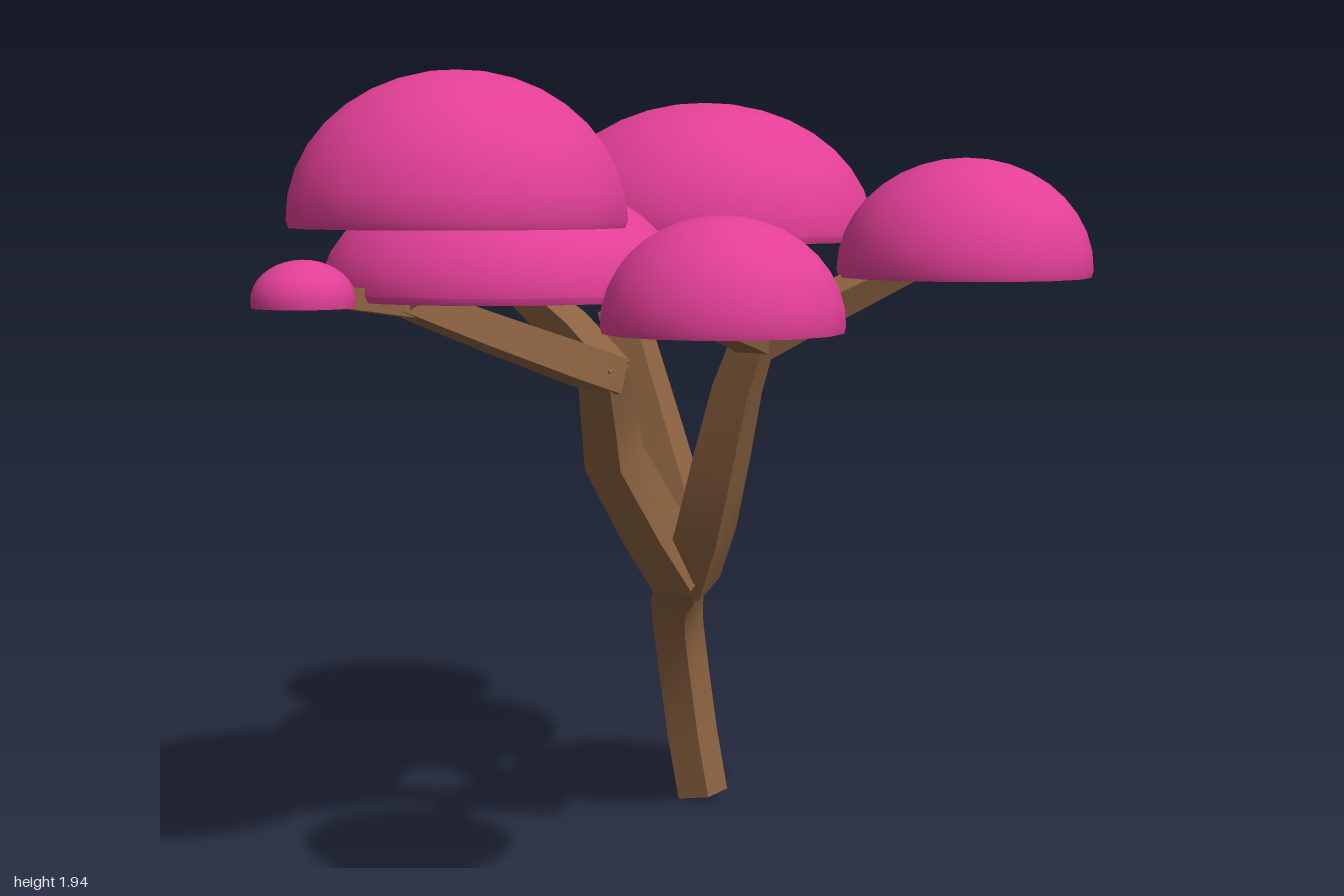
import * as THREE from 'three';
import { toCreasedNormals } from 'three/addons/utils/BufferGeometryUtils.js';

const V = (x, y, z) => new THREE.Vector3(x, y, z);

// Square-section limb swept along a path of [x, y, z, halfWidth]
function limbGeometry(path) {
  const pts = path.map(p => V(p[0], p[1], p[2]));
  const pos = [], idx = [];
  let prev = null, side = V(1, 0, 0);
  pts.forEach((p, i) => {
    const a = pts[Math.max(i - 1, 0)], b = pts[Math.min(i + 1, pts.length - 1)];
    const dir = b.clone().sub(a).normalize();
    if (prev) side.applyQuaternion(new THREE.Quaternion().setFromUnitVectors(prev, dir));
    side.addScaledVector(dir, -side.dot(dir)).normalize();
    const up = dir.clone().cross(side);
    const h = path[i][3];
    for (const [u, v] of [[-1, -1], [1, -1], [1, 1], [-1, 1]]) {
      const c = p.clone().addScaledVector(side, u * h).addScaledVector(up, v * h);
      pos.push(c.x, c.y, c.z);
    }
    prev = dir;
  });
  const n = pts.length;
  for (let i = 0; i < n - 1; i++) {
    for (let k = 0; k < 4; k++) {
      const a = i * 4 + k, b = i * 4 + (k + 1) % 4;
      idx.push(a, b, b + 4, a, b + 4, a + 4);
    }
  }
  const e = (n - 1) * 4;
  idx.push(0, 2, 1, 0, 3, 2, e, e + 1, e + 2, e, e + 2, e + 3);
  const g = new THREE.BufferGeometry();
  g.setAttribute('position', new THREE.Float32BufferAttribute(pos, 3));
  g.setIndex(idx);
  return toCreasedNormals(g, 0.6);
}

// Hollow dome with a thin bevelled rim, base at y = 0
function domeGeometry(r, h) {
  const t = Math.min(0.035, r * 0.12), lip = 0.016, steps = 9, profile = [];
  const arc = (i, rad, height, y0) => {
    const a = (i / steps) * Math.PI / 2;
    return new THREE.Vector2(i === steps ? 0 : rad * Math.cos(a), y0 + height * Math.sin(a));
  };
  for (let i = steps; i >= 0; i--) profile.push(arc(i, r - t, h - t - lip, lip));
  profile.push(new THREE.Vector2(r - t, 0), new THREE.Vector2(r * 0.985, 0));
  for (let i = 0; i <= steps; i++) profile.push(arc(i, r, h - lip, lip));
  return toCreasedNormals(new THREE.LatheGeometry(profile, 16), 0.6);
}

export function createModel() {
  const tree = new THREE.Group();
  tree.name = 'tree';
  const bark = new THREE.MeshStandardMaterial({ color: 0x8b6240 });
  bark.name = 'brown bark';
  const leaf = new THREE.MeshStandardMaterial({ color: 0xe23f96 });
  leaf.name = 'pink foliage';
  const add = (name, geo, mat) => {
    const m = new THREE.Mesh(geo, mat);
    m.name = name;
    tree.add(m);
    return m;
  };

  // Trunk, main branches and twigs
  const limbs = {
    trunk: [[-0.25, 0.01, -0.51, 0.05], [-0.285, 0.18, -0.51, 0.05], [-0.31, 0.38, -0.5, 0.05],
      [-0.3, 0.5, -0.46, 0.05], [-0.265, 0.59, -0.4, 0.053], [-0.19, 0.66, -0.31, 0.056],
      [-0.07, 0.72, -0.13, 0.064], [0.0, 0.79, -0.03, 0.062]],
    leftBranch: [[-0.01, 0.72, -0.07, 0.055], [0.08, 0.87, 0, 0.056], [0.145, 1.06, 0.03, 0.052],
      [0.2, 1.22, 0.055, 0.046], [0.26, 1.355, 0.07, 0.04]],
    leftFrontTwig: [[0.25, 1.34, 0.06, 0.038], [0.33, 1.365, 0.24, 0.034], [0.46, 1.42, 0.6, 0.028]],
    leftBackTwig: [[0.24, 1.32, 0.08, 0.038], [0.38, 1.42, -0.06, 0.036], [0.62, 1.57, -0.26, 0.028]],
    backBranch: [[-0.01, 0.73, -0.06, 0.058], [-0.1, 0.9, -0.14, 0.056], [-0.21, 1.09, -0.2, 0.055],
      [-0.36, 1.37, -0.28, 0.048]],
    backRightTwig: [[-0.34, 1.34, -0.27, 0.046], [-0.45, 1.45, -0.4, 0.04], [-0.64, 1.58, -0.66, 0.03]],
    backCentreTwig: [[-0.35, 1.35, -0.28, 0.044], [-0.26, 1.48, -0.26, 0.042], [-0.11, 1.66, -0.25, 0.034]],
    frontBranch: [[-0.02, 0.73, -0.05, 0.06], [-0.05, 0.86, 0.04, 0.058], [-0.095, 1.04, 0.14, 0.054],
      [-0.07, 1.16, 0.2, 0.048], [-0.035, 1.26, 0.27, 0.043]],
    frontMiddleTwig: [[-0.02, 1.25, 0.26, 0.042], [-0.12, 1.36, 0.29, 0.04], [-0.29, 1.49, 0.31, 0.03]],
    frontRightTwig: [[-0.02, 1.25, 0.25, 0.042], [-0.05, 1.285, 0.35, 0.042],
      [-0.18, 1.36, 0.5, 0.038], [-0.32, 1.435, 0.63, 0.033]],
    frontTopTwig: [[-0.33, 1.42, 0.62, 0.034], [-0.26, 1.5, 0.62, 0.033], [-0.18, 1.68, 0.62, 0.028]],
    smallTipTwig: [[-0.3, 1.425, 0.61, 0.03], [-0.46, 1.455, 0.82, 0.02]],
  };
  for (const [name, path] of Object.entries(limbs)) add(name, limbGeometry(path), bark);

  // Foliage domes: x, z, base height, top height, radius
  const domes = {
    backRightFoliage: [-0.595, -0.66, 1.505, 1.765, 0.338],
    backCentreFoliage: [-0.097, -0.27, 1.555, 1.9, 0.43],
    leftBackFoliage: [0.63, -0.26, 1.48, 1.757, 0.3],
    leftFrontFoliage: [0.463, 0.55, 1.39, 1.63, 0.257],
    frontTopFoliage: [-0.167, 0.625, 1.6, 1.94, 0.375],
    frontMiddleFoliage: [-0.29, 0.31, 1.433, 1.72, 0.43],
    smallTipFoliage: [-0.457, 0.815, 1.425, 1.53, 0.115],
  };
  for (const [name, [x, z, y0, y1, r]] of Object.entries(domes)) {
    add(name, domeGeometry(r, y1 - y0), leaf).position.set(x, y0, z);
  }
  return tree;
}
